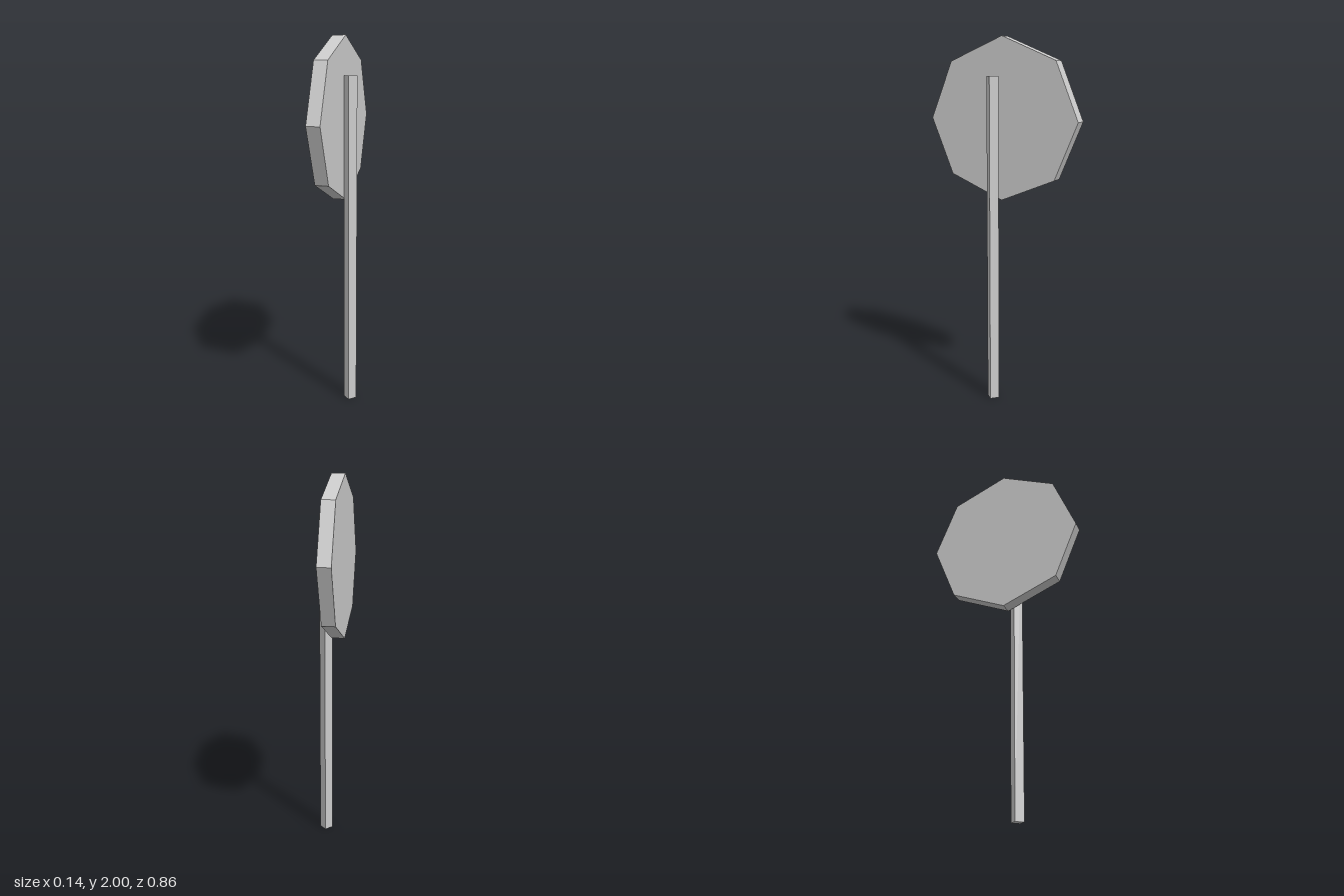
import * as THREE from 'three';

export function createModel() {
  const group = new THREE.Group();
  const material = new THREE.MeshStandardMaterial({ color: 0xcccccc, flatShading: true });

  const add = (name, geometry, x, y, z) => {
    const mesh = new THREE.Mesh(geometry, material);
    mesh.name = name;
    mesh.position.set(x, y, z);
    group.add(mesh);
    return mesh;
  };

  // Octagonal sign plate, facing sideways with a corner at the top
  const radius = 0.429, thickness = 0.072;
  const plate = new THREE.CylinderGeometry(radius, radius, thickness, 8).rotateZ(Math.PI / 2);
  add('signPlate', plate, -thickness / 2, 2 - radius, 0);

  // Square post turned on its corner, just touching the plate
  const postHeight = 1.797, postRadius = 0.0357;
  const post = new THREE.CylinderGeometry(postRadius, postRadius, postHeight, 4);
  add('post', post, postRadius, postHeight / 2, 0.035);

  return group;
}
